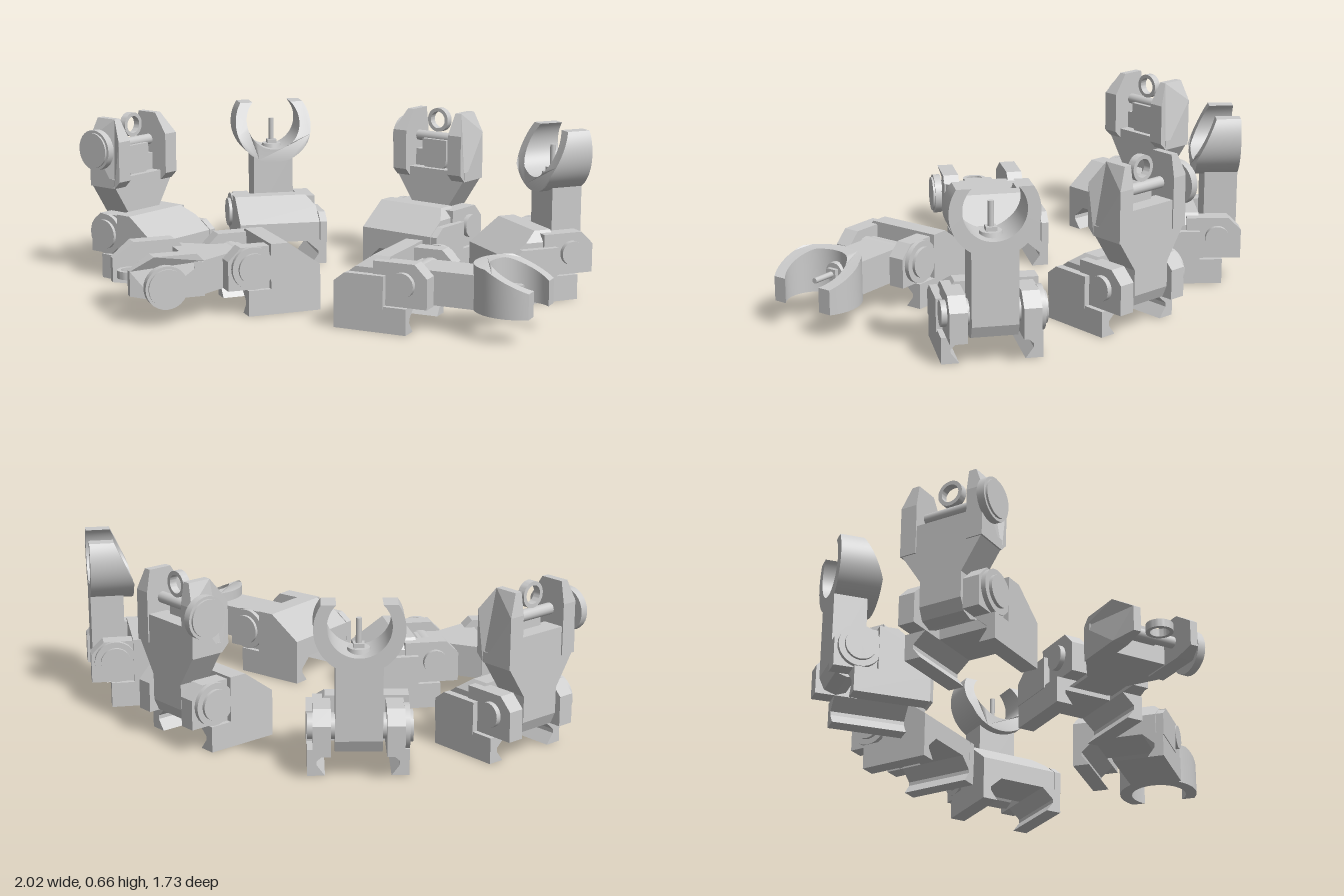
import * as THREE from 'three';
import { toCreasedNormals } from 'three/addons/utils/BufferGeometryUtils.js';
import { ConvexGeometry } from 'three/addons/geometries/ConvexGeometry.js';

const material = new THREE.MeshStandardMaterial({ color: 0xcccccc });
const HINGE = { y: 0.185, z: 0.27 };

function add(parent, name, geometry, x = 0, y = 0, z = 0) {
  const mesh = new THREE.Mesh(geometry, material);
  mesh.name = name;
  mesh.position.set(x, y, z);
  parent.add(mesh);
  return mesh;
}

const polygon = (pts) => new THREE.Shape(pts.map(([a, b]) => new THREE.Vector2(a, b)));

// Outline in x-y, running from z0 to z1
function slab(shape, z0, z1) {
  const g = new THREE.ExtrudeGeometry(shape, { depth: z1 - z0, bevelEnabled: false, curveSegments: 20 });
  return g.translate(0, 0, z0);
}

// Outline in z-y, running from x0 to x1
const sidePlate = (pts, x0, x1) => slab(polygon(pts), 0, x1 - x0).rotateY(-Math.PI / 2).translate(x1, 0, 0);

// Cylinder lying along x
const rod = (r, length, sides = 28) => new THREE.CylinderGeometry(r, r, length, sides).rotateZ(Math.PI / 2);

// Rounded foot of the folding arm, a column outline in x-y
function armColumn(top) {
  const profile = [[-0.045, top], [-0.045, -0.03], [-0.02, -0.075], [0.02, -0.09], [0.065, -0.075], [0.085, -0.03], [0.085, top]];
  return sidePlate(profile, -0.085, 0.085);
}

function makeBase() {
  const base = new THREE.Group();
  base.name = 'base';

  // Block with sloping back and one bevelled shoulder
  const corners = [
    [0.185, 0.1, 0], [-0.155, 0.1, 0], [0.185, 0.1, 0.2], [-0.155, 0.1, 0.2],
    [0.185, 0.18, 0], [-0.155, 0.18, 0], [0.185, 0.275, 0.13], [-0.12, 0.275, 0.13],
    [0.185, 0.275, 0.2], [-0.12, 0.275, 0.2], [-0.155, 0.235, 0.075], [-0.155, 0.235, 0.2],
  ];
  add(base, 'block', new ConvexGeometry(corners.map((c) => new THREE.Vector3(...c))));

  // Clamp bar beside the block
  add(base, 'clampBar', sidePlate([[0, 0.09], [0.2, 0.09], [0.2, 0.215], [0.045, 0.215], [0, 0.18]], -0.188, -0.158));

  // Dovetail jaws gripping the rail
  for (const s of [-1, 1]) {
    const jaw = [[0.185, 0], [0.185, 0.1], [0.1, 0.1], [0.15, 0.055], [0.15, 0.04], [0.12, 0]];
    add(base, 'railJaw', slab(polygon(jaw.map(([x, y]) => [s * x, y])), 0, 0.29));

    // Hinge ears either side of the arm
    const ear = [[0.15, 0.1], [0.365, 0.1], [0.365, 0.215], [0.315, 0.265], [0.15, 0.265]];
    add(base, 'hingeEar', s > 0 ? sidePlate(ear, 0.1, 0.165) : sidePlate(ear, -0.165, -0.1));
  }

  // Hinge pin, its plain end and the round cap with a slotted screw
  add(base, 'hingePin', rod(0.048, 0.345), -0.0125, HINGE.y, HINGE.z);
  add(base, 'hingeCap', rod(0.083, 0.02), 0.173, HINGE.y, HINGE.z);
  add(base, 'capScrew', rod(0.06, 0.015), 0.188, HINGE.y, HINGE.z);
  return base;
}

// Arm with horseshoe guard and post; origin on the hinge axis
function makePostArm() {
  const arm = new THREE.Group();
  arm.name = 'postArm';
  add(arm, 'column', armColumn(0.26));

  // Horseshoe guard
  const top = 0.475, cy = 0.385, R = 0.163, iy = 0.395, r = 0.115;
  const a = Math.asin((top - cy) / R), b = Math.asin((top - iy) / r);
  const guard = new THREE.Shape();
  guard.absarc(0, cy, R, Math.PI - a, 2 * Math.PI + a, false);
  guard.absarc(0, iy, r, b, -Math.PI - b, true);
  const g = slab(guard, -0.085, 0.085);
  const p = g.attributes.position;
  for (let i = 0; i < p.count; i++) { // the back leans forward towards the tips
    if (p.getZ(i) < 0) p.setZ(i, -0.085 + Math.max(0, p.getY(i) - 0.31) * 0.45);
  }
  add(arm, 'guard', toCreasedNormals(g, 0.5));

  // Post on its threaded foot
  add(arm, 'postFoot', new THREE.CylinderGeometry(0.04, 0.045, 0.025, 20), 0, 0.285, 0);
  add(arm, 'postNut', new THREE.BoxGeometry(0.04, 0.02, 0.04), 0, 0.303, 0);
  add(arm, 'post', new THREE.CylinderGeometry(0.011, 0.011, 0.11, 12), 0, 0.35, 0);
  return arm;
}

// Arm with two wings and a ring; origin on the hinge axis
function makeRingArm() {
  const arm = new THREE.Group();
  arm.name = 'ringArm';
  add(arm, 'column', armColumn(0.1));

  // Flared web joining the wings
  const web = [[0.085, 0.07], [0.17, 0.2], [0.17, 0.24], [0.115, 0.3], [-0.115, 0.3], [-0.17, 0.24], [-0.17, 0.2], [-0.085, 0.07]];
  add(arm, 'web', slab(polygon(web), 0, 0.085));
  const flare = [[0.085, 0.07], [0.17, 0.2], [0.17, 0.23], [-0.17, 0.23], [-0.17, 0.2], [-0.085, 0.07]];
  add(arm, 'flare', slab(polygon(flare), -0.045, 0));

  // Wings, bevelled inwards at the top
  for (const s of [-1, 1]) {
    const outline = [[-0.045, 0.19], [0.09, 0.19], [0.09, 0.385], [0.075, 0.47], [-0.02, 0.47], [-0.075, 0.385], [-0.075, 0.22]];
    const g = s > 0 ? sidePlate(outline, 0.105, 0.17) : sidePlate(outline, -0.17, -0.105);
    const p = g.attributes.position;
    for (let i = 0; i < p.count; i++) {
      if (p.getY(i) > 0.45 && Math.abs(p.getX(i)) > 0.15) p.setX(i, s * 0.135);
    }
    g.computeVertexNormals();
    add(arm, 'wing', g);
  }

  // Adjusting knob and cross pin
  add(arm, 'knob', rod(0.083, 0.03), 0.182, 0.345, 0.04);
  add(arm, 'knobRim', rod(0.072, 0.01), 0.2, 0.345, 0.04);
  add(arm, 'crossPin', rod(0.022, 0.24, 16), 0, 0.355, 0.02);

  // Tongue with rounded foot, carrying the ring
  const tongue = new THREE.Shape();
  tongue.moveTo(0.06, 0.35);
  tongue.lineTo(-0.06, 0.35);
  tongue.lineTo(-0.06, 0.27);
  tongue.absarc(0, 0.27, 0.06, Math.PI, 2 * Math.PI, false);
  add(arm, 'tongue', toCreasedNormals(slab(tongue, -0.02, 0.02), 0.5));
  const ring = new THREE.Shape();
  ring.absarc(0, 0.43, 0.05, 0, 2 * Math.PI, false);
  const hole = new THREE.Path();
  hole.absarc(0, 0.43, 0.035, 0, 2 * Math.PI, true);
  ring.holes.push(hole);
  add(arm, 'ring', toCreasedNormals(slab(ring, 0.005, 0.035), 0.5));
  return arm;
}

export function createModel() {
  const model = new THREE.Group();
  model.name = 'foldingSights';
  // Middle of the back edge, heading, kind of arm, folded or upright
  const sights = [
    { at: [-0.594, -0.283], heading: [-0.73, -0.69], make: makeRingArm, folded: false },
    { at: [-0.172, -0.489], heading: [-0.124, -0.992], make: makePostArm, folded: false },
    { at: [0.29, -0.27], heading: [0.68, -0.73], make: makeRingArm, folded: false },
    { at: [0.604, 0.103], heading: [0.958, -0.287], make: makePostArm, folded: false },
    { at: [-0.137, 0.083], heading: [-0.96, 0.28], make: makeRingArm, folded: true },
    { at: [0.037, 0.36], heading: [0.857, 0.517], make: makePostArm, folded: true },
  ];
  for (const { at, heading, make, folded } of sights) {
    const sight = new THREE.Group();
    sight.name = folded ? 'foldedSight' : 'uprightSight';
    sight.position.set(at[0], 0, at[1]);
    sight.rotation.y = Math.atan2(heading[0], heading[1]);
    const arm = make();
    arm.position.set(0, HINGE.y, HINGE.z);
    if (folded) arm.rotation.x = Math.PI / 2;
    sight.add(makeBase(), arm);
    model.add(sight);
  }
  return model;
}
